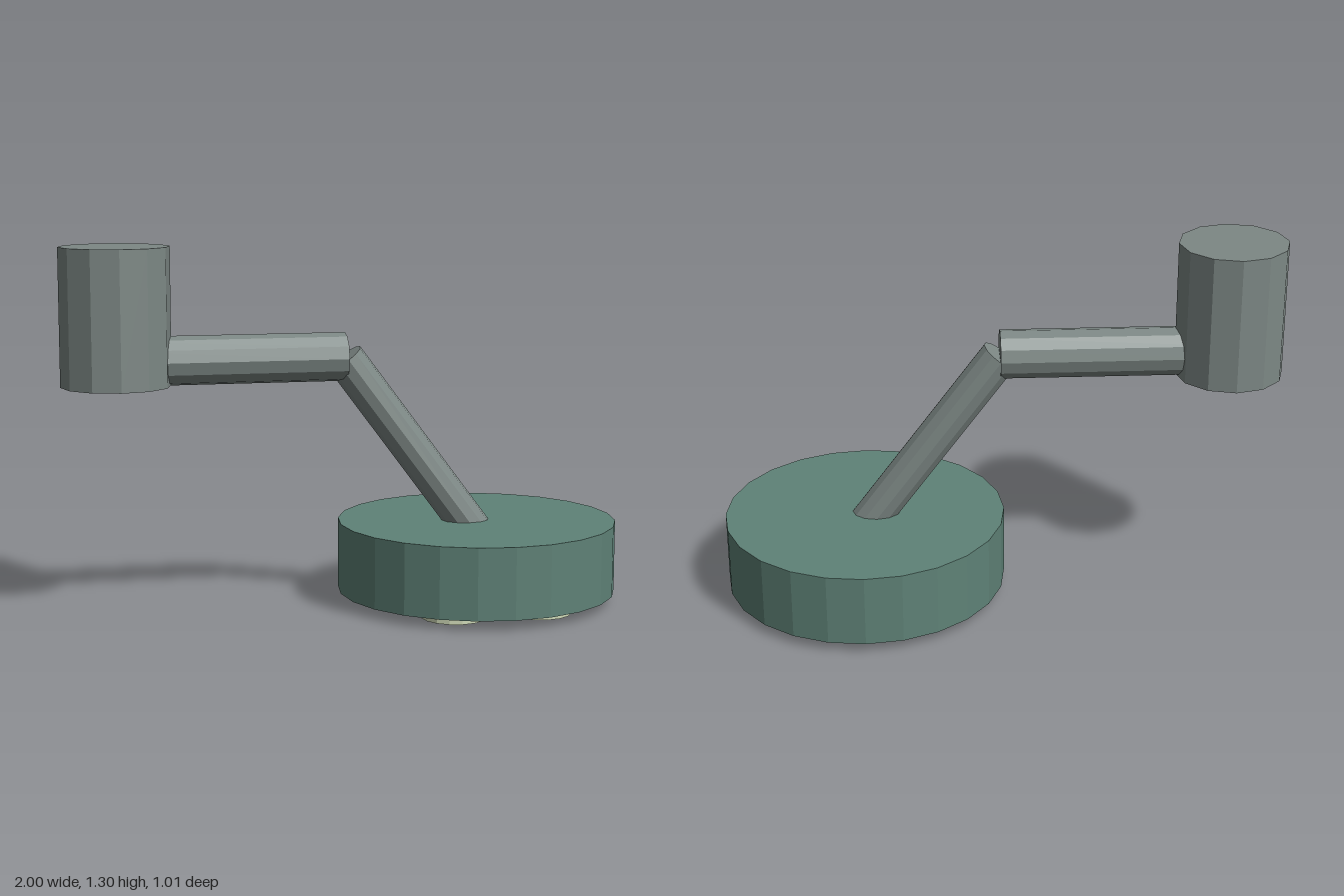
import * as THREE from 'three';

const paint = (color) => new THREE.MeshStandardMaterial({ color, flatShading: true });

// Faceted cylinder running between two points
function rod(name, from, to, radius, sides, material) {
  const a = new THREE.Vector3(...from);
  const b = new THREE.Vector3(...to);
  const dir = b.clone().sub(a);
  const mesh = new THREE.Mesh(new THREE.CylinderGeometry(radius, radius, dir.length(), sides), material);
  mesh.position.copy(a).add(b).multiplyScalar(0.5);
  mesh.quaternion.setFromUnitVectors(new THREE.Vector3(0, 1, 0), dir.normalize());
  mesh.name = name;
  return mesh;
}

export function createModel() {
  const model = new THREE.Group();
  model.name = 'surgicalLamp';
  const metal = paint(0x7d8885);
  const shell = paint(0x5f8277);
  const glass = paint(0xd0dab8);

  const headX = 0.495;
  const mountX = -0.807;

  // Ceiling mount and the two arms
  model.add(rod('ceilingMount', [mountX, 0.815, 0], [mountX, 1.3, 0], 0.193, 12, metal));
  model.add(rod('upperArm', [mountX, 0.9, 0], [0.005, 0.9, 0], 0.087, 12, metal));
  model.add(rod('lowerArm', [0.004, 0.894, 0], [headX, 0.235, 0], 0.07, 12, metal));

  // Round lamp head
  model.add(rod('lampHead', [headX, 0.036, 0], [headX, 0.292, 0], 0.505, 24, shell));

  // Ring of six lenses under the head
  const lenses = new THREE.Group();
  lenses.name = 'lenses';
  for (let i = 0; i < 6; i++) {
    const angle = (i * Math.PI) / 3;
    const x = headX + 0.31 * Math.cos(angle);
    const z = 0.31 * Math.sin(angle);
    lenses.add(rod('lens', [x, 0, z], [x, 0.06, z], 0.117, 16, glass));
  }
  model.add(lenses);

  return model;
}
